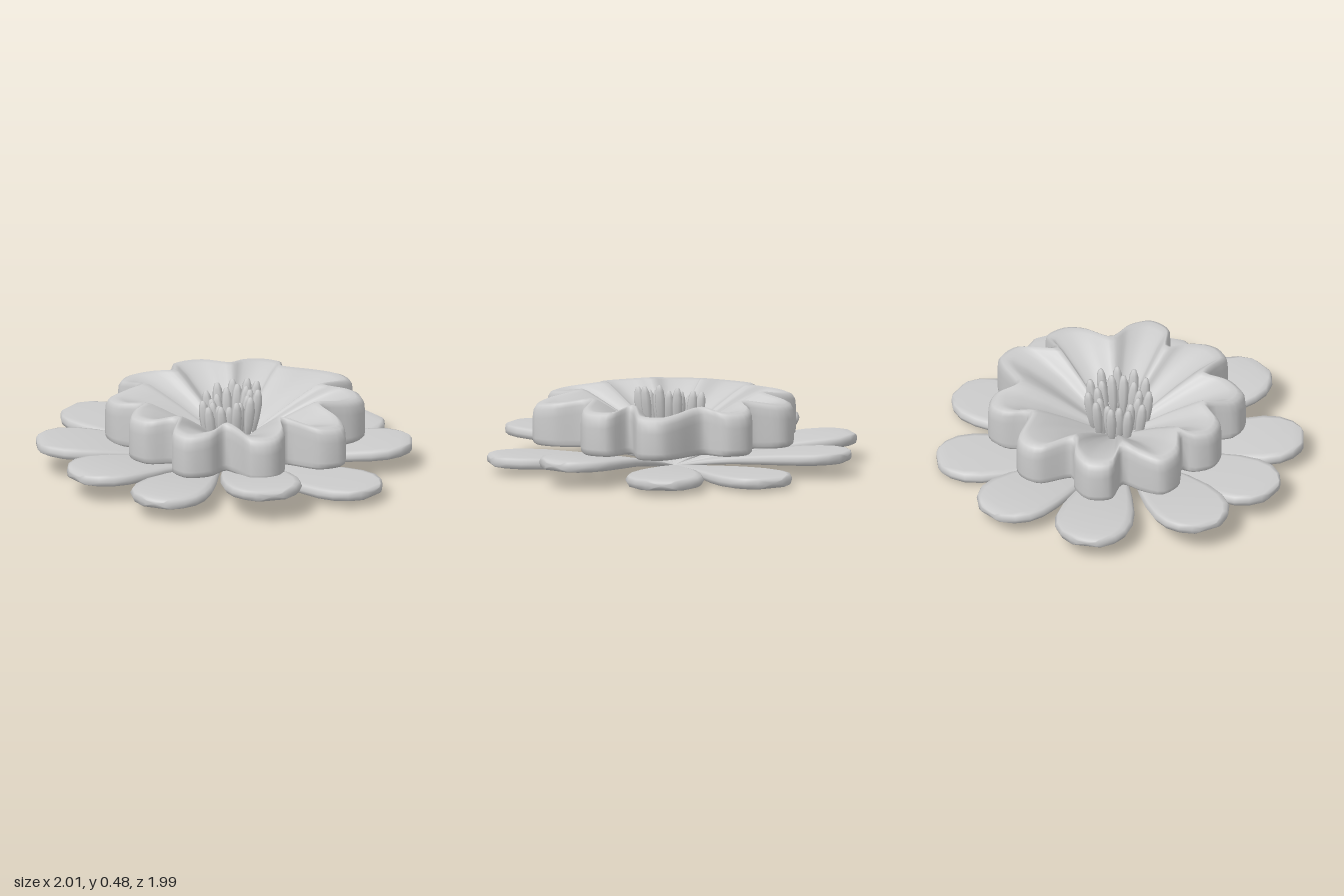
import * as THREE from 'three';

const material = new THREE.MeshStandardMaterial({ color: 0xcccccc, side: THREE.DoubleSide });

// Skin a list of closed rings (equal point counts) with smooth normals
function loft(rings) {
  const n = rings[0].length, index = [];
  for (let i = 0; i < rings.length - 1; i++) {
    for (let j = 0; j < n; j++) {
      const k = (j + 1) % n, a = i * n + j, b = i * n + k;
      index.push(a, b, a + n, b, b + n, a + n);
    }
  }
  const geometry = new THREE.BufferGeometry().setFromPoints(rings.flat());
  geometry.setIndex(index);
  geometry.computeVertexNormals();
  return geometry;
}

function addMesh(parent, geometry, name) {
  const mesh = new THREE.Mesh(geometry, material);
  mesh.name = name;
  parent.add(mesh);
  return mesh;
}

// Drop-shaped petal along +x, rising steeply at the root and levelling at the tip
function petalGeometry(length, rise) {
  // distance, half width, half thickness
  const stations = [
    [0, 0, 0], [0.02, 0.008, 0.006], [0.12, 0.037, 0.01], [0.25, 0.078, 0.015], [0.38, 0.12, 0.02],
    [0.5, 0.16, 0.025], [0.66, 0.202, 0.03], [0.78, 0.215, 0.032], [0.87, 0.2, 0.032],
    [0.94, 0.155, 0.031], [0.985, 0.095, 0.028], [1, 0.06, 0.016], [1, 0, 0],
  ];
  // flat top and bottom with round edges
  const section = [
    [1, 0], [1, 0.78], [0.8, 0.93], [0, 1], [-0.8, 0.93], [-1, 0.78],
    [-1, 0], [-1, -0.78], [-0.8, -0.93], [0, -1], [0.8, -0.93], [1, -0.78],
  ];
  return loft(stations.map(([s, w, t]) => {
    const lift = rise * (1 - (1 - s) ** 2);
    return section.map(([y, z]) => new THREE.Vector3(s * length, lift + y * t, z * w));
  }));
}

function createPetals() {
  const group = new THREE.Group();
  group.name = 'outerPetals';
  // tip x, tip height, tip z
  const tips = [
    [-0.065, 0.115, -1.0], [0.57, 0.05, -0.83], [0.98, 0.065, -0.34], [0.98, 0.135, 0.3],
    [0.59, 0.08, 0.845], [-0.03, 0.168, 0.985], [-0.635, 0.115, 0.765], [-0.945, 0.145, 0.29],
    [-1.0, 0.17, -0.22], [-0.645, 0.13, -0.79],
  ];
  for (const [x, y, z] of tips) {
    const petal = addMesh(group, petalGeometry(Math.hypot(x, z), y - 0.012), 'outerPetal');
    petal.position.y = 0.012;
    petal.rotation.y = Math.atan2(-z, x);
  }
  return group;
}

// Fluted cup: a lobed outline swept along a funnel, rim and wall profile
function cupGeometry() {
  const outline = [
    [-0.09, -0.66], [0, -0.7], [0.09, -0.67], [0.19, -0.51],
    [0.3, -0.59], [0.41, -0.6], [0.49, -0.51], [0.47, -0.37],
    [0.66, -0.3], [0.76, -0.24], [0.77, -0.11], [0.59, 0.01],
    [0.74, 0.08], [0.74, 0.21], [0.65, 0.28], [0.47, 0.32],
    [0.52, 0.5], [0.49, 0.63], [0.35, 0.64], [0.19, 0.5],
    [0.15, 0.63], [0.09, 0.71], [0.02, 0.735], [-0.07, 0.7], [-0.1, 0.6], [-0.15, 0.5],
    [-0.26, 0.57], [-0.39, 0.56], [-0.44, 0.45], [-0.38, 0.31],
    [-0.53, 0.27], [-0.59, 0.16], [-0.55, 0.06], [-0.49, 0.02],
    [-0.6, -0.09], [-0.61, -0.22], [-0.5, -0.28], [-0.39, -0.32],
    [-0.46, -0.46], [-0.38, -0.56], [-0.26, -0.55], [-0.16, -0.49],
  ].map(([x, z]) => new THREE.Vector3(x, 0, z));
  const curve = new THREE.CatmullRomCurve3(outline, true, 'catmullrom', 0.4);
  const rim = curve.getSpacedPoints(160).slice(0, -1);
  // scale of the outline, height
  const profile = [
    [0, 0.14], [0.1, 0.16], [0.3, 0.23], [0.55, 0.32], [0.75, 0.385], [0.87, 0.422],
    [0.93, 0.435], [0.97, 0.428], [0.993, 0.405], [1, 0.36], [1, 0.2], [0.993, 0.175],
    [0.97, 0.162], [0.9, 0.16], [0.4, 0.155], [0, 0.13],
  ];
  const centre = new THREE.Vector3(0.05, 0, 0.01);
  return loft(profile.map(([s, y]) => rim.map((p) => {
    const q = centre.clone().lerp(p, s);
    // the rim droops where the lobes reach outward
    const droop = y > 0.3 ? 0.18 * Math.max(0, q.distanceTo(centre) - 0.47) : 0;
    q.y = y - droop;
    return q;
  })));
}

function createStamens() {
  const group = new THREE.Group();
  group.name = 'stamens';
  const profile = [[0, 0], [0.016, 0.03], [0.026, 0.1], [0.03, 0.17], [0.025, 0.225], [0.013, 0.255], [0, 0.26]]
    .map(([r, y]) => new THREE.Vector2(r, y));
  const geometry = new THREE.LatheGeometry(profile, 6);
  const count = 22;
  for (let i = 0; i < count; i++) {
    const a = (i / count) * Math.PI * 2, inner = i % 2;
    const dx = (inner ? 0.105 : 0.15) * Math.cos(a);
    const dz = (inner ? 0.125 : 0.18) * Math.sin(a);
    const top = 0.425 + 0.33 * dx + (inner ? -0.01 : 0.012) + 0.008 * Math.sin(i * 2.4);
    const stamen = addMesh(group, geometry, 'stamen');
    stamen.position.set(0.035 + dx - 0.03 * Math.cos(a), top - 0.26, 0.01 + dz - 0.03 * Math.sin(a));
    // lean slightly outward
    stamen.rotation.set(0.12 * Math.sin(a), 0, -0.12 * Math.cos(a));
  }
  return group;
}

export function createModel() {
  const flower = new THREE.Group();
  flower.name = 'flower';
  flower.add(createPetals());
  addMesh(flower, cupGeometry(), 'flutedCup');
  flower.add(createStamens());
  return flower;
}
